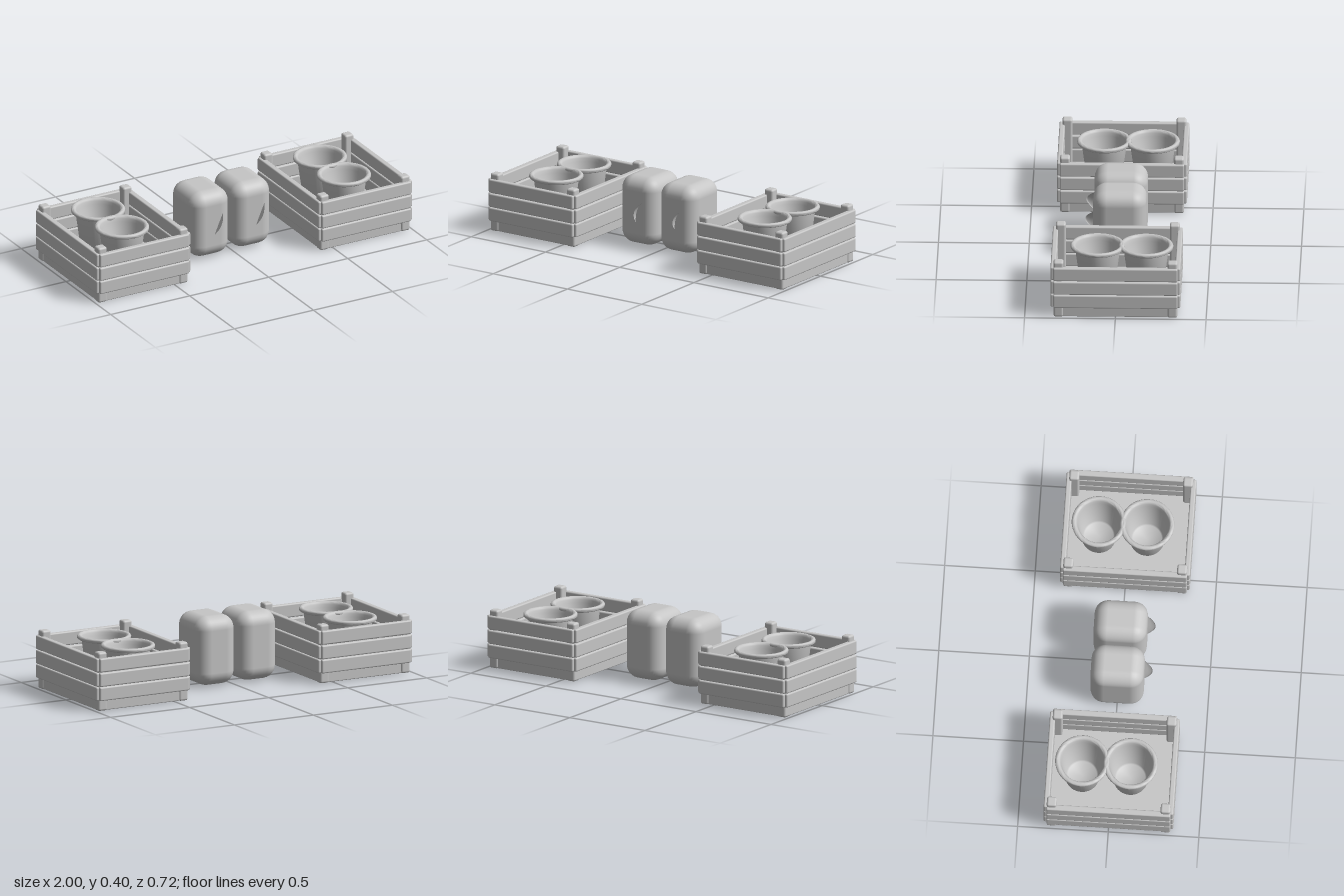
import * as THREE from 'three';
import { RoundedBoxGeometry } from 'three/addons/geometries/RoundedBoxGeometry.js';
import { toCreasedNormals } from 'three/addons/utils/BufferGeometryUtils.js';

const grey = new THREE.MeshStandardMaterial({ color: 0xc6c6c6 });
grey.name = 'plain grey';

function add(parent, name, geometry, x = 0, y = 0, z = 0) {
  const mesh = new THREE.Mesh(geometry, grey);
  mesh.name = name;
  mesh.position.set(x, y, z);
  parent.add(mesh);
  return mesh;
}

const rounded = (w, h, d, r = 0.008, s = 2) => new RoundedBoxGeometry(w, h, d, s, r);

// Tapered open bucket with a rolled rim, turned from one closed profile
function bucketGeometry() {
  const profile = [
    [0, 0.058], [0.09, 0.058], [0.094, 0.064], [0.125, 0.293], [0.142, 0.294],
    [0.149, 0.3], [0.15, 0.308], [0.146, 0.315], [0.139, 0.318], [0.131, 0.317],
    [0.124, 0.312], [0.121, 0.302], [0.115, 0.285], [0.088, 0.085], [0.08, 0.076], [0, 0.074],
  ].map(([r, y]) => new THREE.Vector2(r, y));
  return toCreasedNormals(new THREE.LatheGeometry(profile, 40), 0.9);
}

function createCrate() {
  const crate = new THREE.Group();
  crate.name = 'crate';
  // Floor and corner posts
  add(crate, 'crateFloor', rounded(0.555, 0.058, 0.67, 0.005), 0, 0.031, 0);
  for (const sx of [-1, 1]) {
    for (const sz of [-1, 1]) {
      add(crate, 'cornerPost', rounded(0.055, 0.33, 0.055, 0.012), sx * 0.256, 0.165, sz * 0.314);
    }
  }
  // Three rows of slats around the four sides
  for (const y of [0.098, 0.178, 0.26]) {
    for (const s of [-1, 1]) {
      add(crate, 'sideSlat', rounded(0.034, 0.077, 0.685), s * 0.281, y, 0);
      add(crate, 'endSlat', rounded(0.565, 0.077, 0.03), 0, y, s * 0.343);
    }
  }
  // Two buckets standing side by side
  const bucket = bucketGeometry();
  add(crate, 'frontBucket', bucket, -0.003, 0, 0.105);
  add(crate, 'backBucket', bucket, -0.003, 0, -0.162);
  return crate;
}

// Curved fin: oval cross-sections swept down an arc, pointed at both ends
function finGeometry() {
  const steps = 14, sides = 12, positions = [], indices = [];
  const spine = new THREE.QuadraticBezierCurve3(
    new THREE.Vector3(0.07, 0.28, 0.13),
    new THREE.Vector3(0.015, 0.23, 0.13),
    new THREE.Vector3(0.005, 0.13, 0.13));
  for (let i = 0; i <= steps; i++) {
    const t = i / steps, p = spine.getPoint(t), tangent = spine.getTangent(t);
    const bulge = Math.sin(Math.PI * t);
    for (let j = 0; j < sides; j++) {
      const a = (j / sides) * Math.PI * 2, w = Math.cos(a) * 0.011 * bulge;
      positions.push(p.x - tangent.y * w, p.y + tangent.x * w, p.z + Math.sin(a) * 0.058 * bulge);
    }
  }
  for (let i = 0; i < steps; i++) {
    for (let j = 0; j < sides; j++) {
      const k = (j + 1) % sides, a = i * sides + j, b = i * sides + k;
      indices.push(a, a + sides, b, b, a + sides, b + sides);
    }
  }
  const geometry = new THREE.BufferGeometry();
  geometry.setAttribute('position', new THREE.Float32BufferAttribute(positions, 3));
  geometry.setIndex(indices);
  geometry.computeVertexNormals();
  return geometry;
}

function createSack() {
  const sack = new THREE.Group();
  sack.name = 'sack';
  add(sack, 'sackBody', rounded(0.241, 0.389, 0.294, 0.075, 4), 0, 0.2025, -0.003);
  add(sack, 'sackFin', finGeometry());
  return sack;
}

export function createModel() {
  const model = new THREE.Group();
  model.name = 'marketGoods';
  // Matching crates at either end
  for (const s of [-1, 1]) {
    const crate = createCrate();
    crate.position.x = s * 0.702;
    model.add(crate);
  }
  // Pair of soft sacks between them
  for (const x of [-0.148, 0.114]) {
    const sack = createSack();
    sack.position.x = x;
    model.add(sack);
  }
  return model;
}
